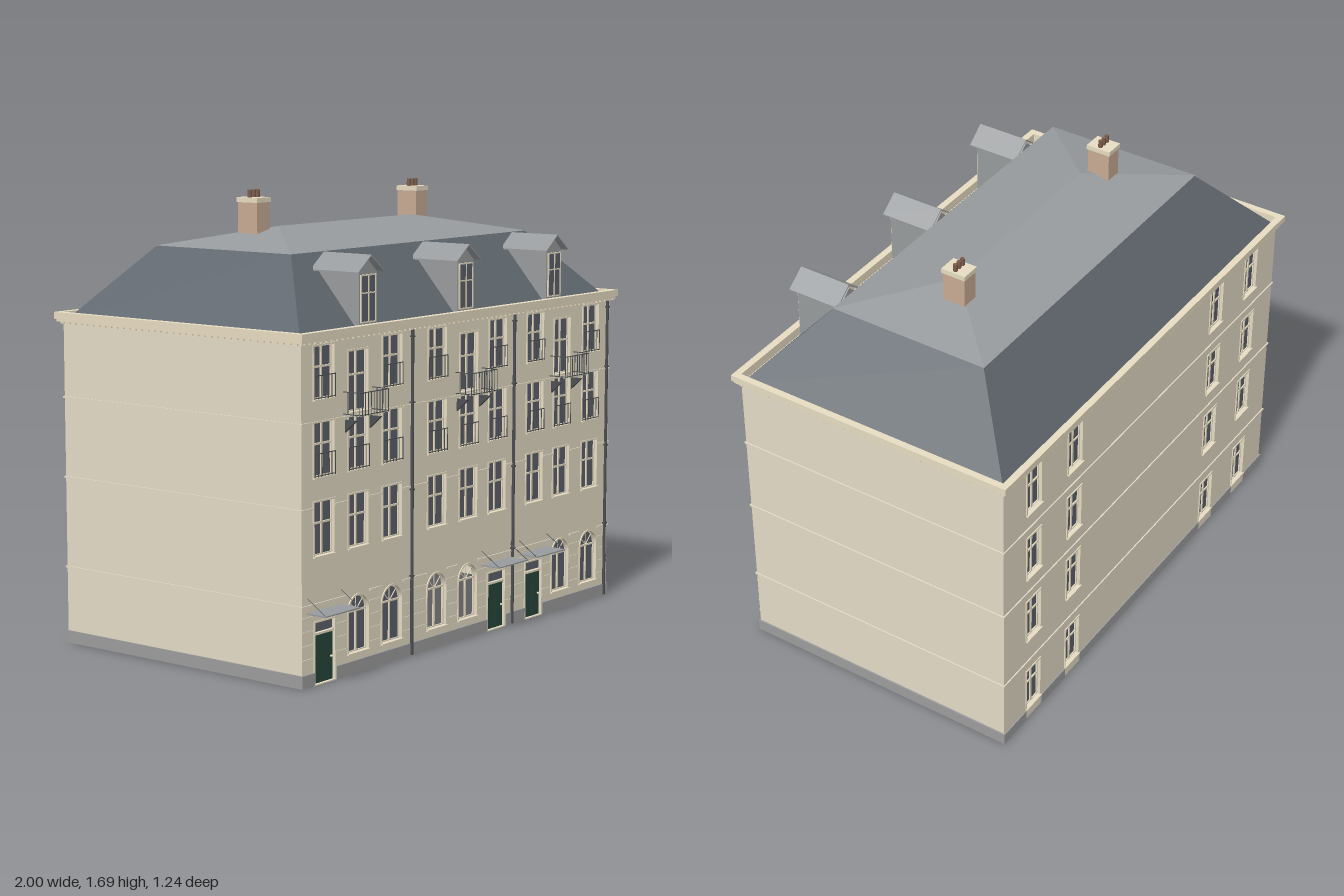
import * as THREE from 'three';
import { mergeGeometries } from 'three/addons/utils/BufferGeometryUtils.js';

const HX = 0.975, ZF = 0.535, ZB = -0.595, WALL_H = 1.21, T = 0.02;
const COLORS = {
  stone: 0xe4dbc6, trim: 0xe8ddc2, slate: 0x5f666d, zinc: 0x989b9d, plinth: 0x9c9c9c,
  glass: 0x5c616a, door: 0x25443b, iron: 0x4c4f52, brick: 0xc8aa94, pot: 0x7a5c4a,
};

export function createModel() {
  const model = new THREE.Group();
  model.name = 'townHouse';
  const mats = {};
  for (const [name, color] of Object.entries(COLORS)) {
    mats[name] = new THREE.MeshStandardMaterial({ color });
    mats[name].name = name;
  }
  // The roof skins are open underneath
  mats.slate.side = mats.zinc.side = THREE.DoubleSide;

  // Every part gathers its pieces, then becomes one mesh
  const newParts = () => new Map();
  const put = (parts, name, mat, geo, x = 0, y = 0, z = 0) => {
    const g = (geo.index ? geo.toNonIndexed() : geo).translate(x, y, z);
    if (!parts.has(name)) parts.set(name, { mat, list: [] });
    parts.get(name).list.push(g);
  };
  const box = (parts, name, mat, w, h, d, x, y, z) =>
    put(parts, name, mat, new THREE.BoxGeometry(w, h, d), x, y, z);
  const finish = (parts, group) => {
    for (const [name, { mat, list }] of parts) {
      const mesh = new THREE.Mesh(mergeGeometries(list), mats[mat]);
      mesh.name = name;
      group.add(mesh);
    }
    return group;
  };
  const extrude = (shape, depth) =>
    new THREE.ExtrudeGeometry(shape, { depth, bevelEnabled: false, curveSegments: 10 });
  const rod = (a, b, r) => new THREE.TubeGeometry(new THREE.LineCurve3(
    new THREE.Vector3(...a), new THREE.Vector3(...b)), 1, r, 6);

  // Outline of an opening, grown by e on the sides and top
  const outline = (o, e, Kind = THREE.Shape) => {
    const s = new Kind(), w = o.w / 2 + e, y0 = o.y - Math.min(e, 0.004), top = o.y + o.h;
    s.moveTo(o.x - w, y0);
    s.lineTo(o.x + w, y0);
    if (o.kind === 'arch') {
      s.lineTo(o.x + w, top - o.w / 2);
      s.absarc(o.x, top - o.w / 2, w, 0, Math.PI, false);
    } else {
      s.lineTo(o.x + w, top + e);
      s.lineTo(o.x - w, top + e);
    }
    s.closePath();
    return s;
  };
  const ringOf = (o, outer, inner, depth) => {
    const s = outline(o, outer);
    s.holes.push(outline(o, inner, THREE.Path));
    return extrude(s, depth);
  };

  const railing = (p, x, y, w, h, z, n) => {
    for (const ry of [y + 0.004, y + h]) box(p, 'railings', 'iron', w, 0.003, 0.003, x, ry, z);
    for (let i = 0; i <= n; i++)
      box(p, 'railings', 'iron', 0.002, h, 0.002, x + w * (i / n - 0.5), y + h / 2, z);
  };

  const fillOpening = (p, o) => {
    const { x, y, w, h } = o, mid = o.kind === 'arch' ? y + h - w / 2 : y + h * 0.6;
    put(p, 'surrounds', 'trim', ringOf(o, 0.006, 0, 0.005), 0, 0, -0.001);
    if (o.kind === 'door') {
      box(p, 'doors', 'door', w, h - 0.045, 0.008, x, y + (h - 0.045) / 2, -0.012);
      for (const s of [-1, 1]) for (const [py, ph] of [[0.05, 0.06], [0.125, 0.07]])
        box(p, 'doorPanels', 'door', w * 0.36, ph, 0.003, x + s * w * 0.23, y + py, -0.008);
      box(p, 'fanlights', 'glass', w, 0.035, 0.006, x, y + h - 0.018, -0.013);
      box(p, 'doorLintels', 'trim', w, 0.008, 0.012, x, y + h - 0.042, -0.008);
      put(p, 'doorKnobs', 'trim', new THREE.SphereGeometry(0.005, 8, 6), x + w * 0.38, y + 0.085, -0.003);
      return;
    }
    if (!o.open) put(p, 'windowGlass', 'glass', extrude(outline(o, 0), 0.004), 0, 0, -0.018);
    put(p, 'windowFrames', 'trim', ringOf(o, 0, -0.004, 0.006), 0, 0, -0.015);
    const barTop = o.kind === 'arch' ? mid : y + h;
    box(p, 'windowFrames', 'trim', 0.008, barTop - y, 0.006, x, (y + barTop) / 2, -0.012);
    box(p, 'windowFrames', 'trim', w, 0.007, 0.006, x, mid, -0.012);
    if (o.kind === 'arch') for (const a of [Math.PI / 4, Math.PI / 2, Math.PI * 3 / 4])
      put(p, 'windowFrames', 'trim', rod([x, mid, -0.011],
        [x + Math.cos(a) * w / 2, mid + Math.sin(a) * w / 2, -0.011], 0.002));
    box(p, 'windowSills', 'trim', w + 0.012, 0.006, 0.013, x, y - 0.003, 0.003);
    if (o.rail) railing(p, x, y, w + 0.004, 0.082, 0.007, 6);
  };

  // Horizontal strip interrupted by the openings
  const strip = (p, name, mat, openings, y, h, d) => {
    const cuts = openings.filter(o => y + h / 2 > o.y - 0.01 && y - h / 2 < o.y + o.h + 0.008)
      .sort((a, b) => a.x - b.x);
    let from = -HX;
    for (const c of [...cuts, { x: HX + 0.007, w: 0 }]) {
      const to = c.x - c.w / 2 - 0.007;
      if (to > from) box(p, name, mat, to - from, h, d, (from + to) / 2, y, d / 2);
      from = c.x + c.w / 2 + 0.007;
    }
  };

  // A facade faces +z with its outer surface on z = 0
  const facade = (name, openings, bands) => {
    const p = newParts();
    const s = new THREE.Shape([[-HX, 0], [HX, 0], [HX, WALL_H], [-HX, WALL_H]].map(v => new THREE.Vector2(...v)));
    for (const o of openings) s.holes.push(outline(o, 0, THREE.Path));
    put(p, name + 'Wall', 'stone', extrude(s, T), 0, 0, -T);
    openings.forEach(o => fillOpening(p, o));
    strip(p, name + 'Plinth', 'plinth', openings, 0.025, 0.046, 0.006);
    bands.forEach(y => strip(p, name + 'Bands', 'stone', openings, y, 0.007, 0.005));
    return p;
  };

  // Front: three houses, each with two side columns and one balcony column
  const front = [], sideX = [-0.853, -0.463, -0.19, 0.195, 0.447, 0.837], midX = [-0.66, 0.008, 0.634];
  for (const x of sideX) front.push({ x, y: 1.01, w: 0.11, h: 0.185, rail: true });
  for (const x of midX) front.push({ x, y: 0.945, w: 0.11, h: 0.215 });
  for (const x of [...sideX, ...midX])
    front.push({ x, y: 0.738, w: 0.11, h: 0.19, rail: true }, { x, y: 0.46, w: 0.11, h: 0.19 });
  const doorX = [-0.85, 0.195, 0.447];
  for (const x of doorX) front.push({ x, y: 0.004, w: 0.11, h: 0.22, kind: 'door' });
  for (const x of [-0.66, -0.463, -0.19, 0.008, 0.634, 0.837])
    front.push({ x, y: 0.078, w: 0.116, h: 0.205, kind: 'arch', open: Math.abs(x + 0.09) < 0.12 });
  const fp = facade('front', front, [0.93, 0.63, 0.29]);
  for (let y = 0.1; y < 0.27; y += 0.05) strip(fp, 'rustication', 'stone', front, y, 0.004, 0.003);

  // Open balconies on triangular brackets
  const bracket = new THREE.Shape([[0, 0], [0.05, 0.045], [0, 0.045]].map(v => new THREE.Vector2(...v)));
  for (const x of midX) {
    railing(fp, x, 0.938, 0.165, 0.082, 0.072, 10);
    box(fp, 'balconyEdges', 'trim', 0.165, 0.006, 0.008, x, 0.94, 0.066);
    for (const s of [-1, 1]) {
      for (const y of [0.942, 1.02]) box(fp, 'railings', 'iron', 0.003, 0.003, 0.072, x + s * 0.0825, y, 0.036);
      for (const z of [0.02, 0.045]) box(fp, 'railings', 'iron', 0.002, 0.08, 0.002, x + s * 0.0825, 0.98, z);
      put(fp, 'balconyBrackets', 'iron', extrude(bracket, 0.01).rotateY(-Math.PI / 2), x + s * 0.07 + 0.005, 0.875, 0);
    }
  }

  // Door canopies hung on rods
  for (const x of doorX) {
    box(fp, 'canopies', 'zinc', 0.194, 0.005, 0.084, x, 0.264, 0.042);
    for (const s of [-1, 1])
      put(fp, 'canopyRods', 'iron', rod([x + s * 0.094, 0.264, 0.082], [x + s * 0.094, 0.318, 0], 0.0015));
  }

  // Drainpipes with brackets
  for (const x of [-0.35, 0.297, 0.95]) {
    put(fp, 'drainpipes', 'iron', new THREE.CylinderGeometry(0.006, 0.006, 1.2, 8), x, 0.605, 0.007);
    for (const y of [0.3, 0.62, 0.94, 1.18]) box(fp, 'drainpipes', 'iron', 0.015, 0.006, 0.014, x, y, 0.007);
  }
  const frontGroup = finish(fp, new THREE.Group());
  frontGroup.name = 'frontFacade';
  frontGroup.position.z = ZF;

  // Back: four columns of narrow windows
  const back = [];
  for (const x of [-0.78, -0.51, 0.51, 0.78]) for (const y of [1.0, 0.7, 0.4, 0.055])
    back.push({ x, y, w: 0.09, h: 0.185 });
  const backGroup = finish(facade('back', back, [0.93, 0.63, 0.29]), new THREE.Group());
  backGroup.name = 'backFacade';
  backGroup.position.z = ZB;
  backGroup.rotation.y = Math.PI;
  model.add(frontGroup, backGroup);

  // Side walls
  const p = newParts(), depth = ZF - ZB, zc = (ZF + ZB) / 2;
  for (const s of [-1, 1]) {
    box(p, 'sideWalls', 'stone', T, WALL_H, depth - 0.002, s * (HX - T / 2), WALL_H / 2, zc);
    box(p, 'sidePlinths', 'plinth', 0.006, 0.046, depth + 0.012, s * (HX + 0.003), 0.025, zc);
    for (const y of [0.93, 0.63, 0.29])
      box(p, 'sideBands', 'stone', 0.005, 0.007, depth + 0.01, s * (HX + 0.0025), y, zc);
  }

  // Cornice in stepped rings, with small dentils beneath
  const rect = (Kind, e) => {
    const s = new Kind(), x = HX + e, z = depth / 2 + e;
    s.moveTo(-x, -z).lineTo(x, -z).lineTo(x, z).lineTo(-x, z).closePath();
    return s;
  };
  for (const [e, y, h] of [[0.008, 1.203, 0.008], [0.018, 1.211, 0.01], [0.025, 1.221, 0.025]]) {
    const s = rect(THREE.Shape, e);
    s.holes.push(rect(THREE.Path, -0.002));
    put(p, 'cornice', 'trim', extrude(s, h).rotateX(-Math.PI / 2), 0, y, zc);
  }
  for (let i = 0; i < 66; i++) for (const z of [ZF + 0.011, ZB - 0.011])
    box(p, 'dentils', 'trim', 0.012, 0.006, 0.01, -HX + 0.0075 + i * 0.03, 1.208, z);
  for (let i = 0; i < 38; i++) for (const s of [-1, 1])
    box(p, 'dentils', 'trim', 0.01, 0.006, 0.012, s * (HX + 0.011), 1.208, ZB + 0.01 + i * 0.03);

  // Mansard roof: steep slate skirt, shallow zinc top
  const loft = (a, b) => {
    const ring = ([x, zb, zf, y]) => [[-x, y, zf], [x, y, zf], [x, y, zb], [-x, y, zb]];
    const A = ring(a), B = ring(b), pos = [], uv = [];
    for (let i = 0; i < 4; i++) {
      const j = (i + 1) % 4;
      pos.push(...A[i], ...A[j], ...B[j], ...A[i], ...B[j], ...B[i]);
      uv.push(0, 0, 1, 0, 1, 1, 0, 0, 1, 1, 0, 1);
    }
    const g = new THREE.BufferGeometry();
    g.setAttribute('position', new THREE.Float32BufferAttribute(pos, 3));
    g.setAttribute('uv', new THREE.Float32BufferAttribute(uv, 2));
    g.computeVertexNormals();
    return g;
  };
  put(p, 'lowerRoof', 'slate', loft([HX, -0.597, 0.533, 1.207], [0.728, -0.352, 0.287, 1.487]));
  put(p, 'upperRoof', 'zinc', loft([0.732, -0.356, 0.291, 1.487], [0.41, -0.034, -0.034, 1.555]));

  // Dormers
  const gable = new THREE.Shape([[-0.05, 0], [0.05, 0], [0.05, 0.215], [0, 0.26], [-0.05, 0.215]].map(v => new THREE.Vector2(...v)));
  const cap = new THREE.Shape([[-0.075, -0.002], [-0.075, -0.007], [0, 0.051], [0.075, -0.007], [0.075, -0.002], [0, 0.056]].map(v => new THREE.Vector2(...v)));
  for (const x of [-0.59, 0, 0.587]) {
    put(p, 'dormerBodies', 'zinc', extrude(gable, 0.198), x, 1.215, 0.325);
    put(p, 'dormerRoofs', 'zinc', extrude(cap, 0.215), x, 1.434, 0.325);
    box(p, 'dormerGlass', 'glass', 0.082, 0.17, 0.005, x, 1.335, 0.524);
    for (const s of [-1, 0, 1]) box(p, 'dormerFrames', 'trim', 0.006, 0.17, 0.005, x + s * 0.041, 1.335, 0.526);
    for (const y of [1.252, 1.355, 1.418]) box(p, 'dormerFrames', 'trim', 0.088, 0.005, 0.005, x, y, 0.526);
  }

  // Chimneys with three pots each
  for (const x of [-0.488, 0.485]) {
    box(p, 'chimneys', 'brick', 0.07, 0.15, 0.092, x, 1.57, -0.088);
    box(p, 'chimneyCaps', 'trim', 0.078, 0.018, 0.1, x, 1.654, -0.088);
    for (const s of [-1, 0, 1])
      put(p, 'chimneyPots', 'pot', new THREE.CylinderGeometry(0.008, 0.009, 0.03, 10), x + s * 0.022, 1.676, -0.088);
  }
  return finish(p, model);
}
